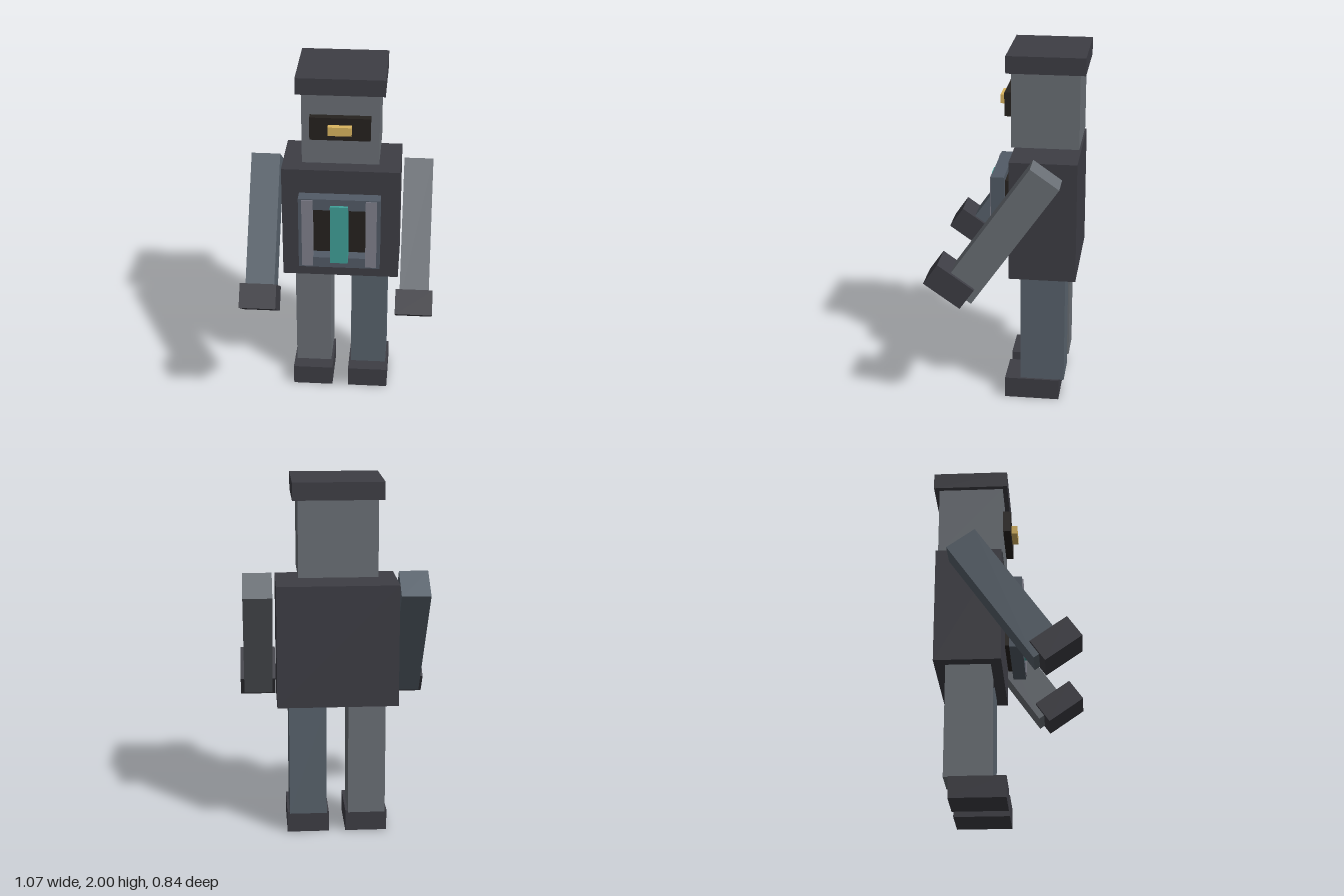
import * as THREE from 'three';

const material = (color) => new THREE.MeshStandardMaterial({ color });
const dark = material(0x3d3d44);
const grey = material(0x6a6f75);
const blueGrey = material(0x58626c);
const frameGrey = material(0x525b66);
const railGrey = material(0x80808c);
const black = material(0x26221f);
const gold = material(0xd9b45f);
const teal = material(0x40a098);

// Box given by its [min, max] range along each axis
function block(name, mat, [x0, x1], [y0, y1], [z0, z1]) {
  const mesh = new THREE.Mesh(new THREE.BoxGeometry(x1 - x0, y1 - y0, z1 - z0), mat);
  mesh.position.set((x0 + x1) / 2, (y0 + y1) / 2, (z0 + z1) / 2);
  mesh.name = name;
  return mesh;
}

const centred = (half) => [-half, half];
const sideRange = (side, a, b) => (side > 0 ? [a, b] : [-b, -a]);

function createHead() {
  const head = new THREE.Group();
  head.name = 'head';
  head.add(
    block('skull', grey, centred(0.214), [1.488, 1.905], [-0.391, -0.021]),
    block('cap', dark, centred(0.244), [1.905, 2], [-0.421, 0.006]),
    block('visor', black, centred(0.167), [1.648, 1.78], [-0.021, 0.022]),
    block('eye', gold, centred(0.065), [1.69, 1.74], [0.022, 0.056])
  );
  return head;
}

function createChestPanel() {
  const panel = new THREE.Group();
  panel.name = 'chestPanel';

  // Frame with a rectangular opening
  const shape = new THREE.Shape();
  shape.moveTo(-0.229, 0.882).lineTo(0.229, 0.882).lineTo(0.229, 1.317).lineTo(-0.229, 1.317).closePath();
  const hole = new THREE.Path();
  hole.moveTo(-0.152, 0.945).lineTo(-0.152, 1.25).lineTo(0.152, 1.25).lineTo(0.152, 0.945).closePath();
  shape.holes.push(hole);
  const frame = new THREE.Mesh(
    new THREE.ExtrudeGeometry(shape, { depth: 0.073, bevelEnabled: false }),
    frameGrey
  );
  frame.position.z = 0.017;
  frame.name = 'chestFrame';

  panel.add(
    frame,
    block('chestBacking', black, centred(0.18), [0.912, 1.283], [-0.01, 0.019]),
    block('chestCore', teal, centred(0.05), [0.922, 1.28], [0.03, 0.109])
  );
  for (const side of [-1, 1]) {
    panel.add(block('chestRail', railGrey, sideRange(side, 0.148, 0.21), [0.892, 1.311], [0.05, 0.096]));
  }
  return panel;
}

// Arm swung forward, with the fist overlapping its lower end
function createArm(side, mat) {
  const arm = new THREE.Group();
  arm.name = side > 0 ? 'leftArm' : 'rightArm';
  arm.add(
    block('armBar', mat, centred(0.081), centred(0.4125), centred(0.095)),
    block('hand', dark, centred(0.102), [-0.467, -0.329], [-0.06, 0.182])
  );
  arm.position.set(side * 0.431, 1.076, 0.002);
  arm.rotation.x = THREE.MathUtils.degToRad(-35);
  return arm;
}

function createLeg(side, mat) {
  const leg = new THREE.Group();
  leg.name = side > 0 ? 'leftLeg' : 'rightLeg';
  leg.add(
    block('legBar', mat, sideRange(side, 0.06, 0.267), [0.12, 0.764], [-0.33, -0.081]),
    block('foot', dark, sideRange(side, 0.047, 0.28), [0, 0.12], [-0.302, 0.006])
  );
  return leg;
}

export function createModel() {
  const model = new THREE.Group();
  model.name = 'robot';
  model.add(
    createHead(),
    block('torso', dark, centred(0.332), [0.764, 1.44], [-0.391, -0.021]),
    createChestPanel(),
    createArm(1, grey),
    createArm(-1, blueGrey),
    createLeg(1, blueGrey),
    createLeg(-1, grey)
  );
  return model;
}
